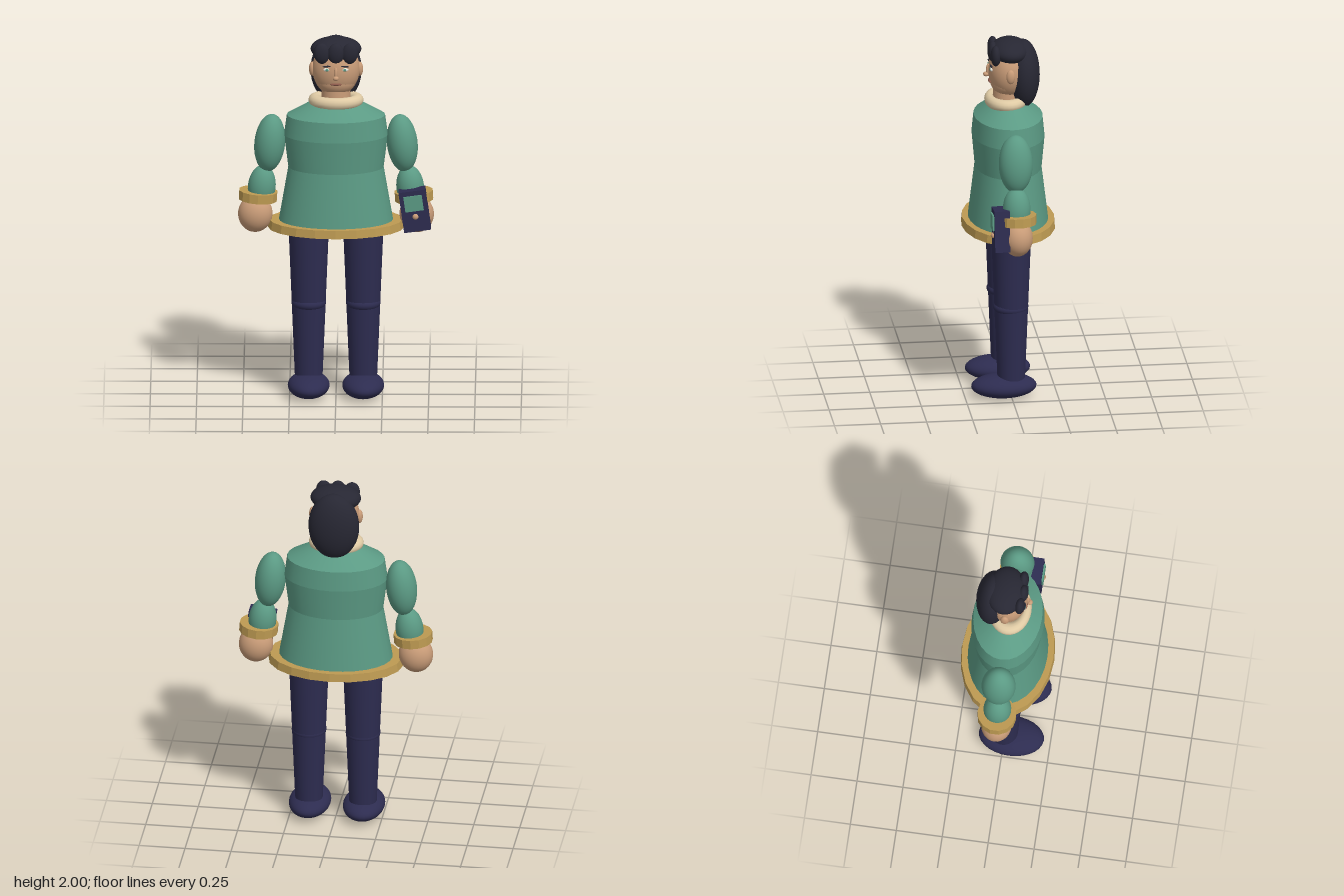
import * as THREE from 'three';

const mat = (name, color, extra = {}) => Object.assign(new THREE.MeshStandardMaterial({ color, ...extra }), { name });

export function createModel() {
  const root = new THREE.Group();
  root.name = 'figure';
  const green = mat('tunic green', 0x5b9a84);
  const navy = mat('trouser navy', 0x2d2c50);
  const gold = mat('trim gold', 0xbd9a52);
  const skin = mat('skin', 0xc99c78);
  const cream = mat('collar cream', 0xdfcaa4);
  const hair = mat('hair', 0x272733);
  const white = mat('eye white', 0xe6e4dc);
  const lip = mat('lip', 0x8e5a4c);

  const add = (name, geo, m, [x, y, z] = [0, 0, 0], rz = 0, parent = root) => {
    const mesh = new THREE.Mesh(geo, m);
    mesh.name = name;
    mesh.position.set(x, y, z);
    mesh.rotation.z = rz;
    parent.add(mesh);
    return mesh;
  };
  // ellipsoid from centre and radii
  const blob = (name, m, pos, r, rz = 0, parent = root) =>
    add(name, new THREE.SphereGeometry(1, 28, 20).scale(...r), m, pos, rz, parent);
  // faceted band: normals are split so each side is flat
  const band = (rTop, rBottom, h, n) => {
    const g = new THREE.CylinderGeometry(rTop, rBottom, h, n).toNonIndexed();
    g.computeVertexNormals();
    return g;
  };

  // Tunic: stacked oval rings with a crease at each joint
  const rings = [[0.96, 0.312], [1.28, 0.257], [1.46, 0.28], [1.57, 0.265], [1.64, 0.14]];
  const tunic = new THREE.Group();
  tunic.name = 'tunic';
  root.add(tunic);
  for (let i = 0; i < rings.length - 1; i++) {
    const [y0, r0] = rings[i], [y1, r1] = rings[i + 1];
    const g = new THREE.CylinderGeometry(r1, r0, y1 - y0, 28, 1, true).scale(1, 1, 0.7);
    add('tunicSection', g, green, [0, (y0 + y1) / 2, 0], 0, tunic);
  }
  add('tunicUnderside', new THREE.CircleGeometry(0.32, 28).rotateX(Math.PI / 2).scale(1, 1, 0.7), green, [0, 0.938, 0], 0, tunic);
  add('hem', band(0.36, 0.367, 0.045, 20).scale(1, 1, 0.69), gold, [0, 0.963, 0]);

  // Collar and neck
  add('collar', new THREE.TorusGeometry(0.113, 0.036, 14, 32).rotateX(Math.PI / 2).scale(1, 0.9, 0.78), cream, [0, 1.655, 0.012]);
  add('neck', new THREE.CylinderGeometry(0.075, 0.08, 0.14, 24), skin, [0, 1.69, 0.005]);

  // Head and face
  blob('head', skin, [0, 1.825, 0], [0.128, 0.15, 0.108]);
  blob('jaw', skin, [0, 1.765, 0.01], [0.108, 0.08, 0.088]);
  blob('noseBridge', skin, [0, 1.825, 0.108], [0.011, 0.036, 0.012]);
  blob('noseTip', skin, [0, 1.803, 0.12], [0.016, 0.013, 0.015]);
  blob('mouth', lip, [0, 1.764, 0.1], [0.031, 0.007, 0.008]);

  // Hair: cap, long back and fringe
  blob('hairCap', hair, [0, 1.935, -0.01], [0.137, 0.065, 0.105]);
  blob('backHair', hair, [0, 1.80, -0.083], [0.138, 0.19, 0.088]);
  for (const x of [-0.075, 0, 0.075])
    blob('fringeLock', hair, [x, 1.93, x ? 0.075 : 0.083], [0.044, 0.058, 0.028], -x * 1.5);

  for (const s of [-1, 1]) {
    // Face sides
    blob('ear', skin, [s * 0.128, 1.825, 0], [0.018, 0.04, 0.024]);
    blob('eye', white, [s * 0.048, 1.845, 0.095], [0.02, 0.01, 0.009]);
    blob('iris', green, [s * 0.048, 1.845, 0.102], [0.008, 0.008, 0.004]);
    blob('brow', hair, [s * 0.048, 1.864, 0.097], [0.024, 0.004, 0.007], -s * 0.08);

    // Legs
    const leg = new THREE.Group();
    leg.name = s > 0 ? 'leftLeg' : 'rightLeg';
    leg.position.x = s * 0.147;
    root.add(leg);
    add('trouserLeg', new THREE.CylinderGeometry(0.11, 0.074, 0.88, 28), navy, [0, 0.53, 0], 0, leg);
    blob('knee', navy, [0, 0.52, 0.003], [0.094, 0.05, 0.096], 0, leg);
    blob('shoe', navy, [0, 0.067, 0.04], [0.113, 0.064, 0.177], 0, leg);

    // Arms
    const arm = new THREE.Group();
    arm.name = s > 0 ? 'leftArm' : 'rightArm';
    root.add(arm);
    blob('upperSleeve', green, [s * 0.357, 1.41, 0], [0.083, 0.16, 0.092], s * 0.1, arm);
    blob('lowerSleeve', green, [s * 0.4, 1.165, 0], [0.075, 0.12, 0.075], s * 0.1, arm);
    add('cuff', band(0.105, 0.105, 0.05, 14), gold, [s * 0.42, 1.118, 0], s * 0.07, arm);
    blob('hand', skin, [s * 0.435, 1.015, 0], [0.093, 0.102, 0.083], s * 0.08, arm);
  }

  // Handheld device in the left hand
  const device = new THREE.Group();
  device.name = 'handheldDevice';
  device.position.set(0.425, 1.063, 0.088);
  device.rotation.z = 0.14;
  root.add(device);
  add('deviceBody', new THREE.BoxGeometry(0.146, 0.226, 0.082), navy, [0, 0, 0], 0, device);
  add('screen', new THREE.BoxGeometry(0.1, 0.085, 0.009), green, [0, 0.045, 0.0455], 0, device);
  blob('knob', skin, [0, -0.03, 0.043], [0.016, 0.016, 0.013], 0, device);

  return root;
}
